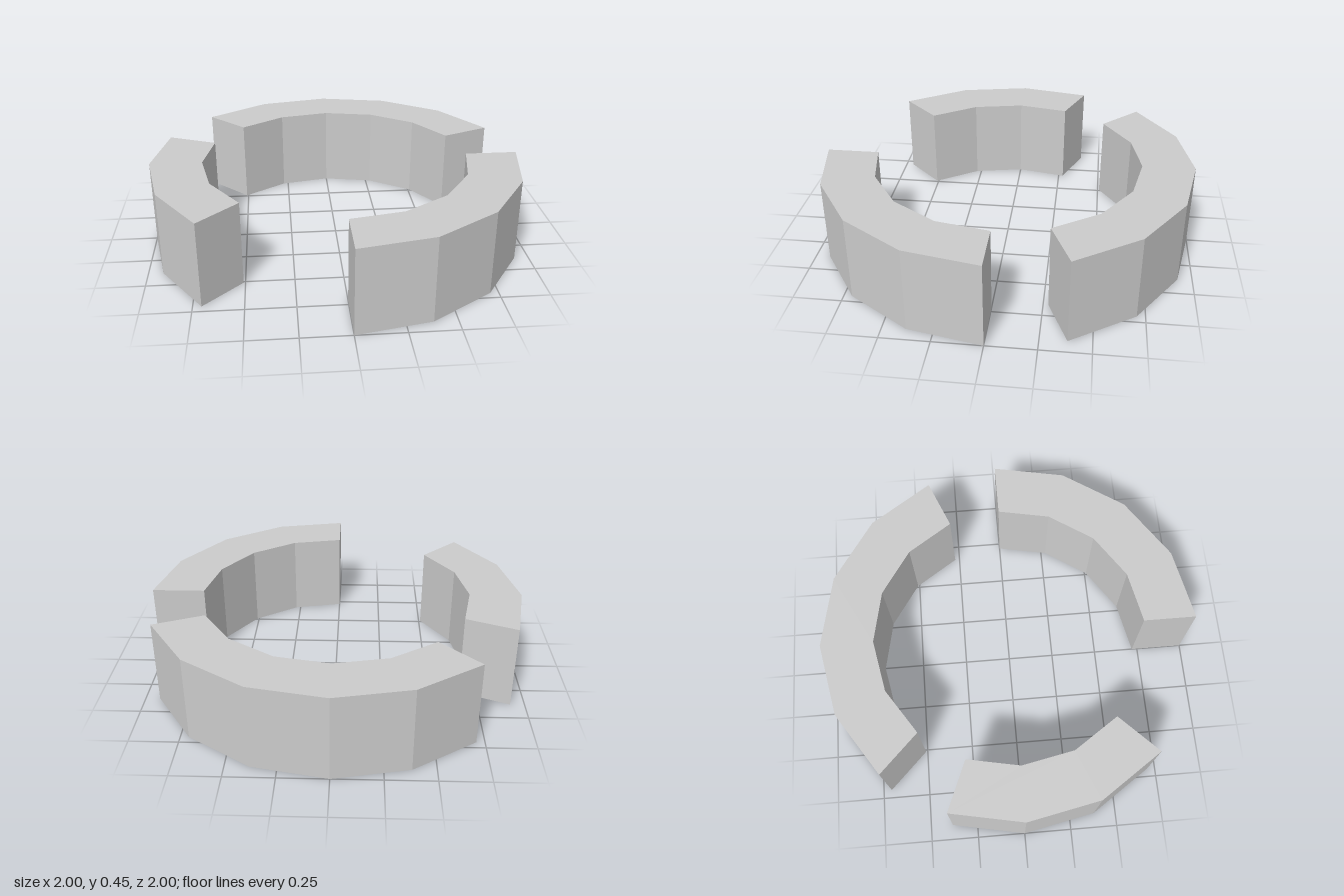
import * as THREE from 'three';

const SIDES = 16;
const OUTER = 1;
const INNER = 0.72;
const HEIGHT = 0.45;

// Curved wall block covering ring steps start..end, counted anticlockwise from +x seen from above
function wallSegment(name, start, end, material) {
  const points = [];
  const add = (radius, step) => {
    const angle = (step / SIDES) * Math.PI * 2;
    points.push(new THREE.Vector2(radius * Math.cos(angle), radius * Math.sin(angle)));
  };
  for (let i = start; i <= end; i++) add(OUTER, i);
  for (let i = end; i >= start; i--) add(INNER, i);

  const geometry = new THREE.ExtrudeGeometry(new THREE.Shape(points), {
    depth: HEIGHT,
    bevelEnabled: false,
  });
  geometry.rotateX(-Math.PI / 2); // lay the plan flat so it rises along y
  const mesh = new THREE.Mesh(geometry, material);
  mesh.name = name;
  return mesh;
}

export function createModel() {
  const group = new THREE.Group();
  group.name = 'brokenRing';
  const material = new THREE.MeshStandardMaterial({ color: 0xcccccc, flatShading: true });

  // Three blocks of different length, with gaps between them
  group.add(
    wallSegment('backWall', 1, 6, material),
    wallSegment('rightWall', 7, 10, material),
    wallSegment('frontLeftWall', 12, 16, material),
  );
  return group;
}
